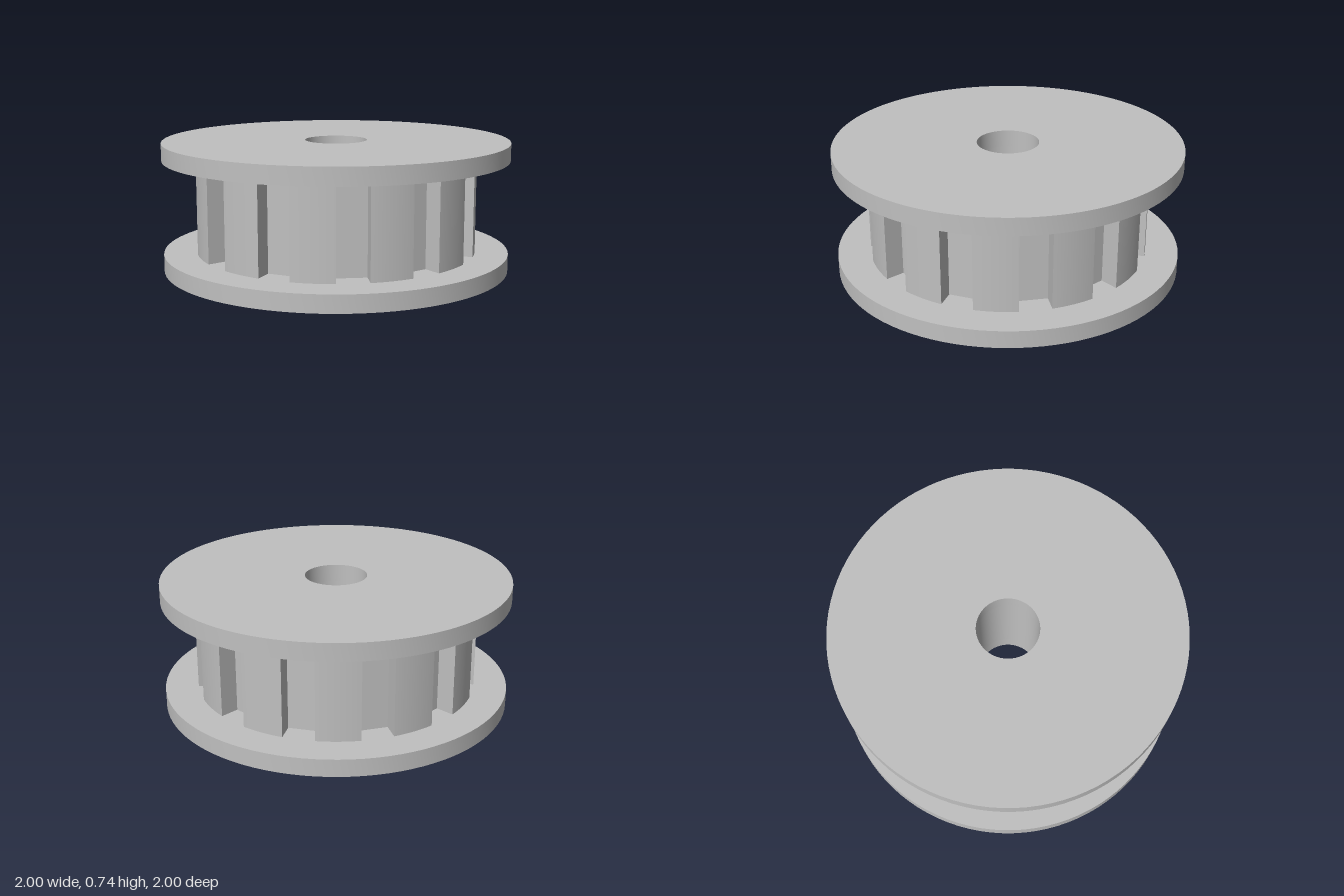
import * as THREE from 'three';
import { toCreasedNormals } from 'three/addons/utils/BufferGeometryUtils.js';

const TEETH = 12;
const FLANGE_R = 1, TIP_R = 0.81, ROOT = 0.695, BORE_R = 0.178;
const GROOVE_HALF = 0.09;
const FLANGE_H = 0.1, CORE_H = 0.54;

// Disc outline with the shaft bore
function discShape() {
  const shape = new THREE.Shape();
  shape.absarc(0, 0, FLANGE_R, 0, Math.PI * 2, false);
  return shape;
}

// Toothed outline: flat-bottomed, parallel-sided grooves between round-topped teeth
function toothedShape() {
  const shape = new THREE.Shape();
  const step = (Math.PI * 2) / TEETH;
  const half = Math.asin(GROOVE_HALF / TIP_R);
  for (let i = 0; i < TEETH; i++) {
    const a = i * step, c = Math.cos(a), s = Math.sin(a);
    for (const side of [-GROOVE_HALF, GROOVE_HALF]) {
      const x = ROOT * c - side * s, y = ROOT * s + side * c;
      if (i === 0 && side < 0) shape.moveTo(x, y);
      else shape.lineTo(x, y);
    }
    shape.absarc(0, 0, TIP_R, a + half, a + step - half, false);
  }
  shape.closePath();
  return shape;
}

// Extrude an outline upward from height y, with the bore cut through
function layer(name, shape, y, height, curveSegments, material) {
  const bore = new THREE.Path();
  bore.absarc(0, 0, BORE_R, 0, Math.PI * 2, true);
  shape.holes.push(bore);
  const geometry = new THREE.ExtrudeGeometry(shape, { depth: height, bevelEnabled: false, curveSegments });
  geometry.rotateX(-Math.PI / 2);
  geometry.translate(0, y, 0);
  const mesh = new THREE.Mesh(toCreasedNormals(geometry, 0.5), material);
  mesh.name = name;
  return mesh;
}

export function createModel() {
  const group = new THREE.Group();
  group.name = 'timingPulley';
  const metal = new THREE.MeshStandardMaterial({ color: 0xc0c0c0 });
  metal.name = 'light grey';

  group.add(
    layer('lowerFlange', discShape(), 0, FLANGE_H, 48, metal),
    layer('toothedCore', toothedShape(), FLANGE_H, CORE_H, 48, metal),
    layer('upperFlange', discShape(), FLANGE_H + CORE_H, FLANGE_H, 48, metal)
  );
  return group;
}
